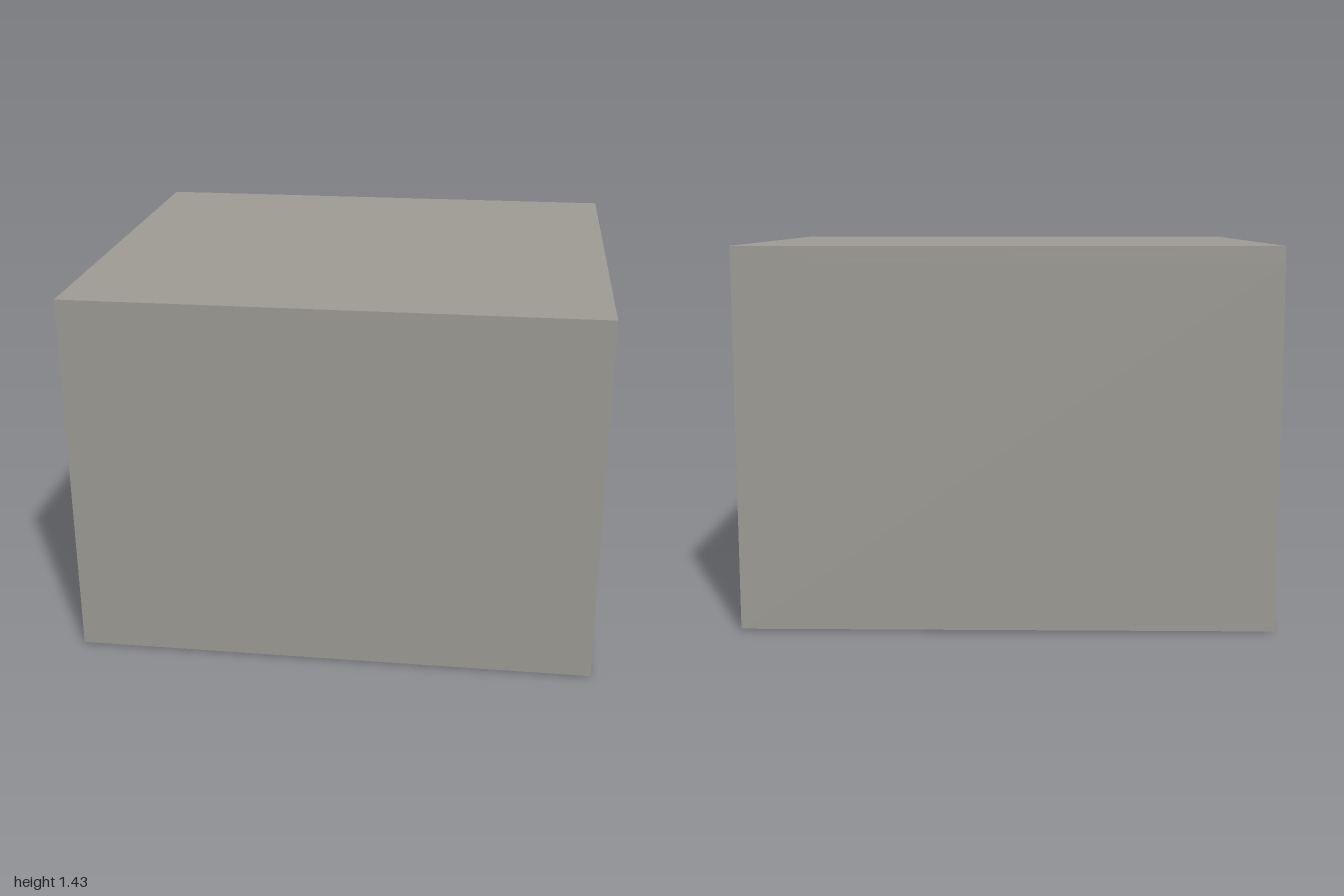
import * as THREE from 'three';

const material = (name, color) => {
  const m = new THREE.MeshStandardMaterial({ color });
  m.name = name;
  return m;
};

export function createModel() {
  const concrete = material('concrete wall', 0x9e9c95);
  const floorMat = material('floor', 0x96968c);
  const doorMat = material('door panel', 0x73716a);
  const frameMat = material('dark frame', 0x2d2d2d);

  // Overall room size
  const X0 = -0.992, X1 = 0.998, Z = 0.88, Y0 = 0.007, Y1 = 1.43, T = 0.06;
  // Doorway: outer and inner half widths and heights
  const OUT = 0.244, IN = 0.203, TOP = 0.94, INTOP = 0.905;

  const room = new THREE.Group();
  room.name = 'room';

  const add = (parent, name, geometry, mat) => {
    const mesh = new THREE.Mesh(geometry, mat);
    mesh.name = name;
    parent.add(mesh);
    return mesh;
  };

  // Box given by its limits on each axis
  const block = (parent, name, mat, [xa, xb], [ya, yb], [za, zb]) => {
    const geometry = new THREE.BoxGeometry(xb - xa, yb - ya, zb - za);
    add(parent, name, geometry, mat)
      .position.set((xa + xb) / 2, (ya + yb) / 2, (za + zb) / 2);
  };

  // Upside-down U outline, extruded along x from xa to xb
  const arch = (parent, name, mat, [xa, xb], [ya, yb], half, holeHalf, holeTop) => {
    const shape = new THREE.Shape([
      [-half, ya], [-holeHalf, ya], [-holeHalf, holeTop], [holeHalf, holeTop],
      [holeHalf, ya], [half, ya], [half, yb], [-half, yb],
    ].map(([x, y]) => new THREE.Vector2(x, y)));
    const geometry = new THREE.ExtrudeGeometry(shape, { depth: xb - xa, bevelEnabled: false });
    geometry.rotateY(Math.PI / 2).translate(xa, 0, 0);
    add(parent, name, geometry, mat);
  };

  // Shell: roof, floor, front and back walls
  block(room, 'roof', concrete, [X0, X1], [Y1 - T, Y1], [-Z, Z]);
  block(room, 'floor', floorMat, [X0 + T, X1 - T], [Y0, Y0 + 0.04], [-Z + T, Z - T]);
  block(room, 'frontWall', concrete, [X0, X1], [Y0, Y1 - T], [Z - T, Z]);
  block(room, 'backWall', concrete, [X0, X1], [Y0, Y1 - T], [-Z, -Z + T]);

  // Side walls with doorways; the right-hand frame stands slightly proud
  const sides = [
    { name: 'left', wall: [X1 - T, X1], frame: [0.95, 0.992], door: [0.962, 0.978] },
    { name: 'right', wall: [X0, X0 + T], frame: [-1, -0.958], door: [-0.986, -0.97] },
  ];
  for (const s of sides) {
    arch(room, s.name + 'Wall', concrete, s.wall, [Y0, Y1 - T], Z - T, OUT, TOP);
    const doorway = new THREE.Group();
    doorway.name = s.name + 'Doorway';
    arch(doorway, 'doorFrame', frameMat, s.frame, [0, TOP], OUT, IN, INTOP);
    block(doorway, 'doorPanel', doorMat, s.door, [0.004, INTOP], [-IN, IN]);
    room.add(doorway);
  }

  return room;
}
